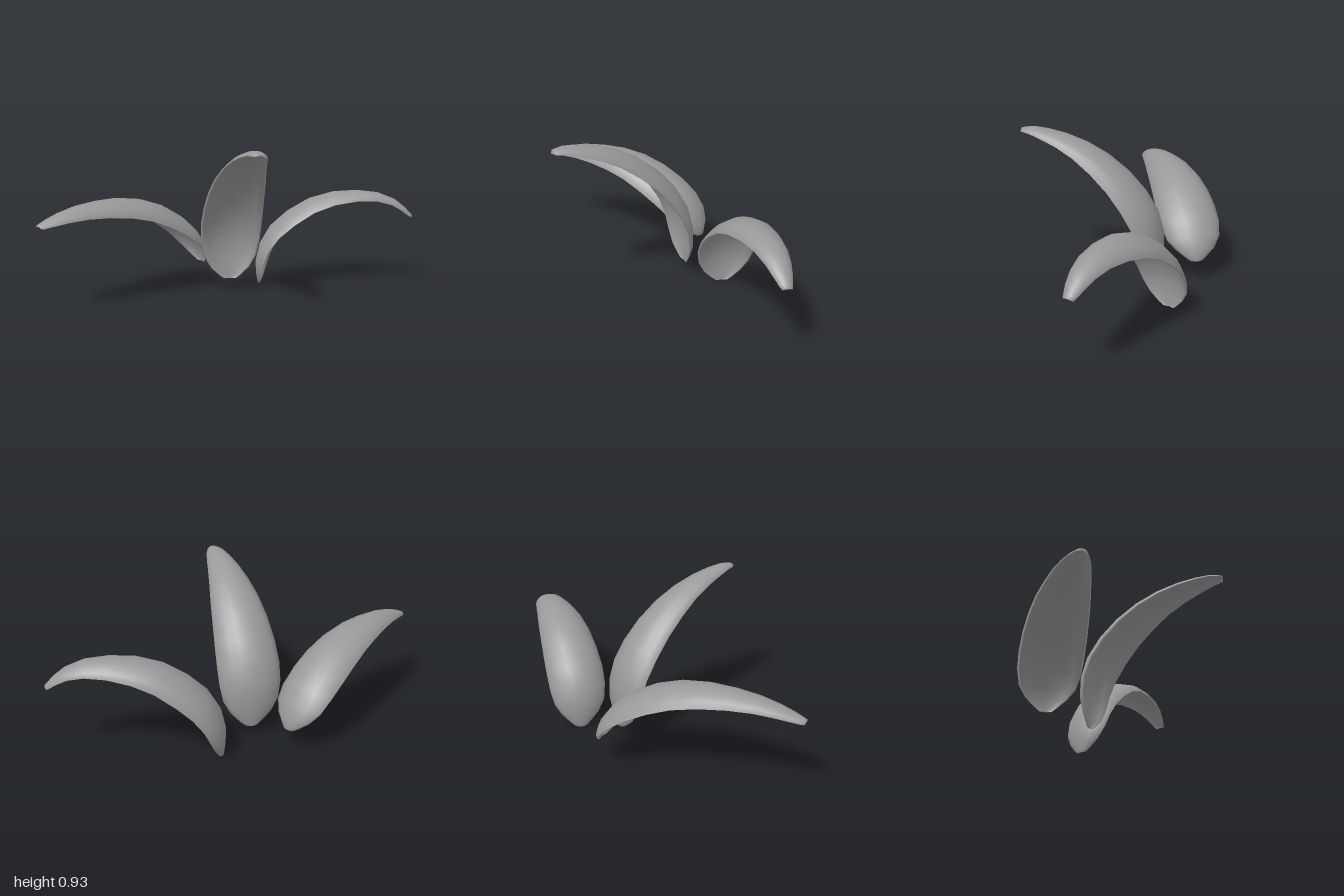
import * as THREE from 'three';

const SIDES = 8;   // segments across the petal
const RINGS = 14;  // sections along the petal
const ARC = Math.PI / 3;  // half-angle of the cupped cross-section
const ROLL = 0.1;         // sideways lean of each petal

// half-width along the petal: [fraction of length, share of the widest half-width]
const WIDTHS = [[0, 0.2], [0.03, 0.54], [0.08, 0.82], [0.14, 0.95], [0.22, 1], [0.32, 1],
  [0.45, 0.94], [0.6, 0.81], [0.78, 0.58], [0.9, 0.4], [0.97, 0.27], [1, 0.17]];

function widthAt(f) {
  const k = Math.max(1, WIDTHS.findIndex((p) => p[0] >= f));
  const [a, b] = [WIDTHS[k - 1], WIDTHS[k]];
  return THREE.MathUtils.lerp(a[1], b[1], (f - a[0]) / (b[0] - a[0]));
}

// A cupped, hollow-bellied petal swept along its ridge.
// base, tip: [x, z]; ridge: [distance from base, height]
function petalGeometry({ base, tip, ridge, width, cup }) {
  const start = new THREE.Vector3(base[0], 0, base[1]);
  const heading = new THREE.Vector3(tip[0], 0, tip[1]).sub(start).normalize();
  const up = new THREE.Vector3(0, 1, 0);
  const level = heading.clone().cross(up);
  const curve = new THREE.CatmullRomCurve3(ridge.map(([s, y]) =>
    start.clone().addScaledVector(heading, s).addScaledVector(up, y)));

  const rings = [];
  for (let i = 0; i <= RINGS; i++) {
    // closer sections at both rounded ends
    const f = 0.5 - 0.5 * Math.cos((Math.PI * i) / RINGS);
    const p = curve.getPointAt(f), tangent = curve.getTangentAt(f);
    const side = level.clone().applyAxisAngle(tangent, -ROLL);
    const normal = side.clone().cross(tangent);
    // flatter near the base, fully cupped further out
    const w = width * widthAt(f);
    const d = w * cup * (0.7 + 0.3 * THREE.MathUtils.smoothstep(f, 0, 0.4));
    const at = (u, v) => p.clone().addScaledVector(side, u * w).addScaledVector(normal, v * d);
    const ring = [];
    for (let k = 0; k < 2 * (SIDES + 1); k++) {
      const inside = k > SIDES;                 // outer back first, then the hollow
      const a = ARC * (2 * (inside ? 2 * SIDES + 1 - k : k) / SIDES - 1);
      const u = Math.sin(a) / Math.sin(ARC);
      const v = (Math.cos(a) - 1) / (1 - Math.cos(ARC));
      ring.push(inside ? at(0.92 * u, 0.74 * v - 0.3) : at(u, v));
    }
    rings.push(ring);
  }
  // close both ends by collapsing a ring to its middle
  const collapse = (ring) => {
    const c = ring.reduce((s, v) => s.add(v), new THREE.Vector3()).divideScalar(ring.length);
    return ring.map(() => c);
  };
  rings.unshift(collapse(rings[0]));
  rings.push(collapse(rings[rings.length - 1]));

  const n = rings[0].length, index = [];
  for (let i = 0; i < rings.length - 1; i++) {
    for (let j = 0; j < n; j++) {
      const a = i * n + j, b = i * n + ((j + 1) % n);
      index.push(a, b, a + n, b, b + n, a + n);
    }
  }
  const geometry = new THREE.BufferGeometry().setFromPoints(rings.flat());
  geometry.setIndex(index);
  geometry.computeVertexNormals();
  return geometry;
}

const PETALS = [
  { name: 'frontPetal', base: [-0.41, -0.15], tip: [-0.5, 1], width: 0.183, cup: 0.58,
    ridge: [[0, 0.15], [0.01, 0.24], [0.075, 0.36], [0.2, 0.475], [0.37, 0.565], [0.55, 0.61],
      [0.72, 0.617], [0.9, 0.602], [1.05, 0.565], [1.15, 0.525]] },
  { name: 'upperPetal', base: [-0.16, -0.14], tip: [0.51, 0.34], width: 0.183, cup: 0.52,
    ridge: [[0, 0.08], [-0.025, 0.25], [-0.005, 0.42], [0.08, 0.58], [0.205, 0.715], [0.36, 0.825],
      [0.52, 0.895], [0.68, 0.932], [0.77, 0.94], [0.83, 0.93]] },
  { name: 'backPetal', base: [-0.145, -0.385], tip: [0.59, -0.98], width: 0.172, cup: 0.58,
    ridge: [[0, 0.01], [-0.015, 0.14], [0.015, 0.28], [0.095, 0.405], [0.205, 0.495], [0.34, 0.57],
      [0.48, 0.607], [0.62, 0.615], [0.77, 0.595], [0.88, 0.54], [0.96, 0.46]] },
];

export function createModel() {
  const group = new THREE.Group();
  group.name = 'petals';
  const material = new THREE.MeshStandardMaterial({ color: 0x999999 });
  for (const petal of PETALS) {
    const mesh = new THREE.Mesh(petalGeometry(petal), material);
    mesh.name = petal.name;
    group.add(mesh);
  }
  return group;
}
